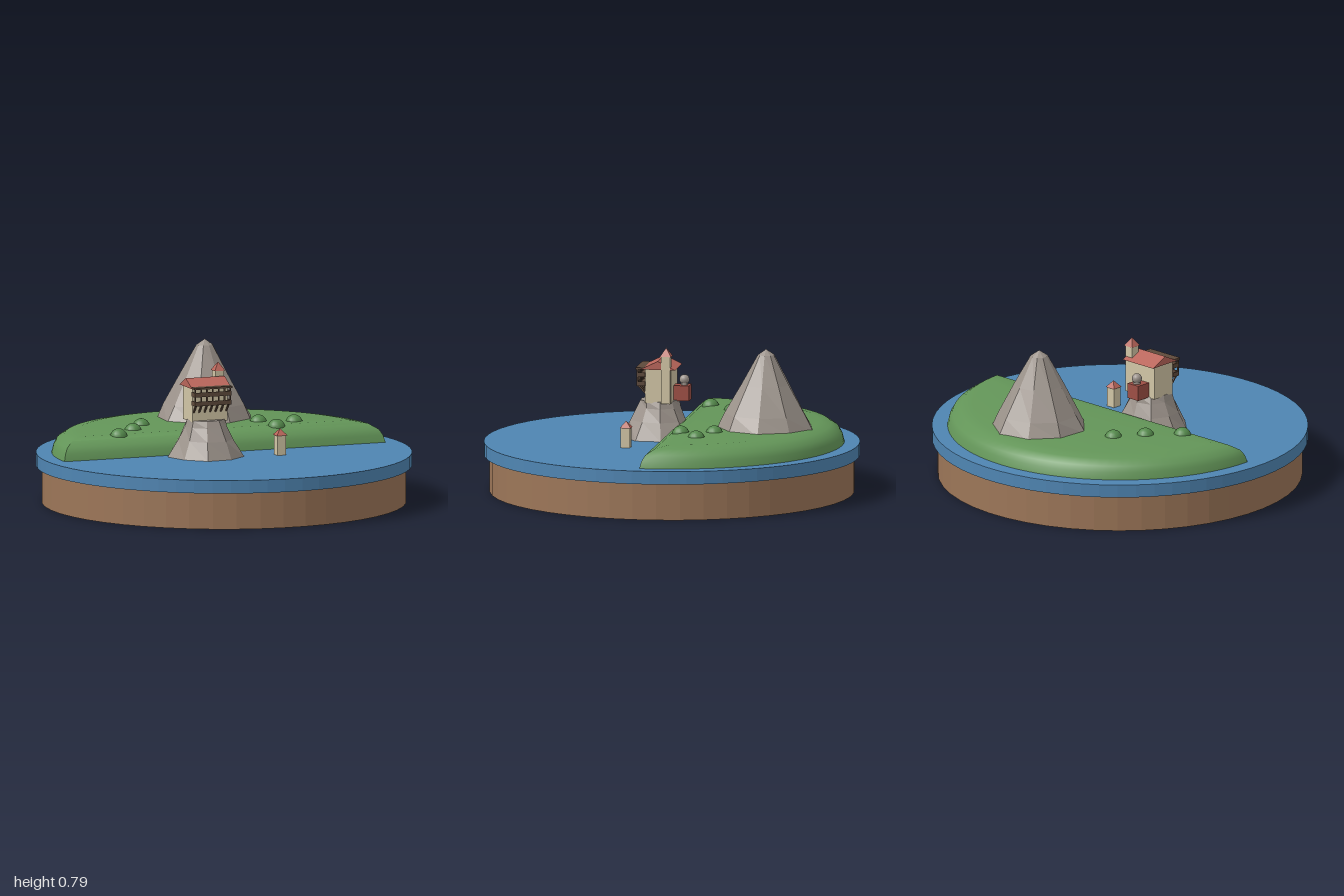
import * as THREE from 'three';
import { toCreasedNormals } from 'three/addons/utils/BufferGeometryUtils.js';

const TURN = -Math.PI / 9; // shoreline and castle share this turn

const paint = (name, color) => {
  const m = new THREE.MeshStandardMaterial({ color });
  m.name = name;
  return m;
};

const flat = (geo) => {
  const g = geo.index ? geo.toNonIndexed() : geo;
  g.computeVertexNormals();
  return g;
};

function add(parent, name, geo, mat, x = 0, y = 0, z = 0) {
  const mesh = new THREE.Mesh(geo, mat);
  mesh.name = name;
  mesh.position.set(x, y, z);
  parent.add(mesh);
  return mesh;
}

// Box resting on y, so heights read directly
const block = (parent, name, mat, w, h, d, x, y, z) =>
  add(parent, name, new THREE.BoxGeometry(w, h, d), mat, x, y + h / 2, z);

// Faceted, slightly irregular nine-sided rock from a radius/height profile
function rockGeometry(profile, startDeg, wobble) {
  const sides = 9;
  const geo = new THREE.LatheGeometry(profile.map(([r, y]) => new THREE.Vector2(r, y)),
    sides, THREE.MathUtils.degToRad(startDeg));
  const pos = geo.attributes.position;
  for (let k = 0; k < pos.count; k++) {
    const side = Math.floor(k / profile.length) % sides;
    const ring = k % profile.length;
    const s = 1 + wobble * Math.sin(side * 2.4 + ring * 1.3);
    pos.setX(k, pos.getX(k) * s);
    pos.setZ(k, pos.getZ(k) * s);
  }
  return flat(geo);
}

// Half-disc of land whose rim rounds over to a flat top
function landGeometry() {
  const profile = [[0, 0.265], [0.01, 0.305], [0.027, 0.335], [0.07, 0.363], [0.135, 0.375]];
  const R = 0.917, shore = 0.015, n = 48, pos = [], idx = [];
  for (const [inset, y] of profile) {
    const r = R - inset;
    const a = Math.asin((inset - shore) / r);
    for (let i = 0; i <= n; i++) {
      const t = a + (Math.PI - 2 * a) * i / n;
      pos.push(r * Math.cos(t), y, -r * Math.sin(t));
    }
  }
  const c = n + 1, top = (profile.length - 1) * c;
  pos.push(0, 0.375, -0.35);
  for (let i = 0; i < c; i++) {
    const j = (i + 1) % c;
    for (let k = 0; k < profile.length - 1; k++) {
      const lo = k * c, up = lo + c;
      idx.push(lo + i, lo + j, up + j, lo + i, up + j, up + i);
    }
    idx.push(profile.length * c, top + i, top + j);
  }
  const geo = new THREE.BufferGeometry();
  geo.setAttribute('position', new THREE.Float32BufferAttribute(pos, 3));
  geo.setIndex(idx);
  return toCreasedNormals(geo, 0.65);
}

// Gabled roof with its ridge along x
function gableGeometry(w, h, d) {
  const s = new THREE.Shape();
  s.moveTo(-d / 2, 0);
  s.lineTo(d / 2, 0);
  s.lineTo(0, h);
  s.closePath();
  return new THREE.ExtrudeGeometry(s, { depth: w, bevelEnabled: false })
    .translate(0, 0, -w / 2).rotateY(Math.PI / 2);
}

export function createModel() {
  const model = new THREE.Group();
  model.name = 'islandDiorama';
  const earth = paint('earth brown', 0x9c7658);
  const water = paint('water blue', 0x4f85b2);
  const grass = paint('grass green', 0x639558);
  const bushGreen = paint('bush green', 0x558a4c);
  const stone = paint('rock grey', 0x9c938b);
  const wall = paint('wall cream', 0xd2c6a6);
  const tile = paint('roof red', 0xb9655a);
  const brick = paint('annex red', 0x9e4f45);
  const wood = paint('dark wood', 0x5f4a3b);

  // Ground disc, water and land
  add(model, 'earthBase', flat(new THREE.CylinderGeometry(0.97, 0.97, 0.2, 48)), earth, 0, 0.1, 0);
  add(model, 'water', flat(new THREE.CylinderGeometry(1, 1, 0.07, 64)), water, 0, 0.232, 0);
  add(model, 'land', landGeometry(), grass).rotation.y = TURN;

  // Mountain and castle rock
  add(model, 'mountain', rockGeometry(
    [[0.262, 0.36], [0.215, 0.45], [0.13, 0.605], [0.045, 0.762], [0, 0.793]], 30, 0.03),
  stone, 0.27, 0, -0.46);
  add(model, 'castleRock', rockGeometry(
    [[0.2, 0.265], [0.15, 0.36], [0.118, 0.43], [0.106, 0.467], [0, 0.467]], 2, 0.05),
  stone, -0.165, 0, 0.04);

  // Bushes
  const bushes = [[-0.166, -0.476], [-0.31, -0.38], [-0.487, -0.294],
    [0.385, -0.16], [0.53, -0.037], [0.358, 0.016]];
  for (const [x, z] of bushes) {
    add(model, 'bush', new THREE.SphereGeometry(0.047, 16, 12), bushGreen, x, 0.361, z);
  }

  // Square tower with a pyramid roof
  const tower = (parent, name, x, z, y0, y1, roofH) => {
    const g = new THREE.Group();
    g.name = name;
    g.position.set(x, 0, z);
    parent.add(g);
    block(g, 'towerWall', wall, 0.05, y1 - y0, 0.05, 0, y0, 0);
    const cone = new THREE.ConeGeometry(0.06 / Math.SQRT2, roofH, 4).rotateY(Math.PI / 4);
    add(g, 'towerRoof', flat(cone), tile, 0, y1 + roofH / 2, 0);
    return g;
  };
  tower(model, 'waterTower', 0.155, 0.275, 0.265, 0.373, 0.036).rotation.y = TURN;

  // Castle
  const castle = new THREE.Group();
  castle.name = 'castle';
  castle.position.set(-0.16, 0, 0.03);
  castle.rotation.y = TURN;
  model.add(castle);
  block(castle, 'keep', wall, 0.2, 0.185, 0.14, 0, 0.46, 0);
  add(castle, 'keepRoof', gableGeometry(0.222, 0.046, 0.188), tile, 0, 0.642, 0);
  tower(castle, 'stairTower', 0.09, -0.043, 0.46, 0.714, 0.046);

  // Two hanging wooden galleries on the front wall
  for (const y of [0.552, 0.6]) {
    block(castle, 'galleryFloor', wood, 0.21, 0.008, 0.048, 0, y, 0.092);
    block(castle, 'galleryRail', wood, 0.21, 0.024, 0.006, 0, y, 0.113);
    for (const s of [-1, 1]) {
      block(castle, 'galleryEnd', wood, 0.006, 0.024, 0.048, s * 0.102, y, 0.092);
    }
    for (let i = 0; i < 7; i++) {
      block(castle, 'galleryPost', wood, 0.007, 0.048, 0.007, -0.1 + i * 0.0333, y, 0.111);
    }
  }
  block(castle, 'galleryCanopy', wood, 0.216, 0.01, 0.054, 0, 0.641, 0.093);

  // Slanted struts under the lower gallery
  for (let i = 0; i < 7; i++) {
    const strut = block(castle, 'galleryStrut', wood, 0.008, 0.058, 0.008,
      -0.093 + i * 0.031, 0.505, 0.088);
    strut.rotation.x = 0.75;
  }

  // Rear annex with a small dome
  block(castle, 'annex', brick, 0.076, 0.082, 0.086, -0.02, 0.463, -0.11);
  add(castle, 'domeDrum', new THREE.CylinderGeometry(0.02, 0.02, 0.025, 16), stone, -0.02, 0.555, -0.122);
  add(castle, 'dome', new THREE.SphereGeometry(0.027, 16, 12), stone, -0.02, 0.574, -0.122);

  return model;
}
